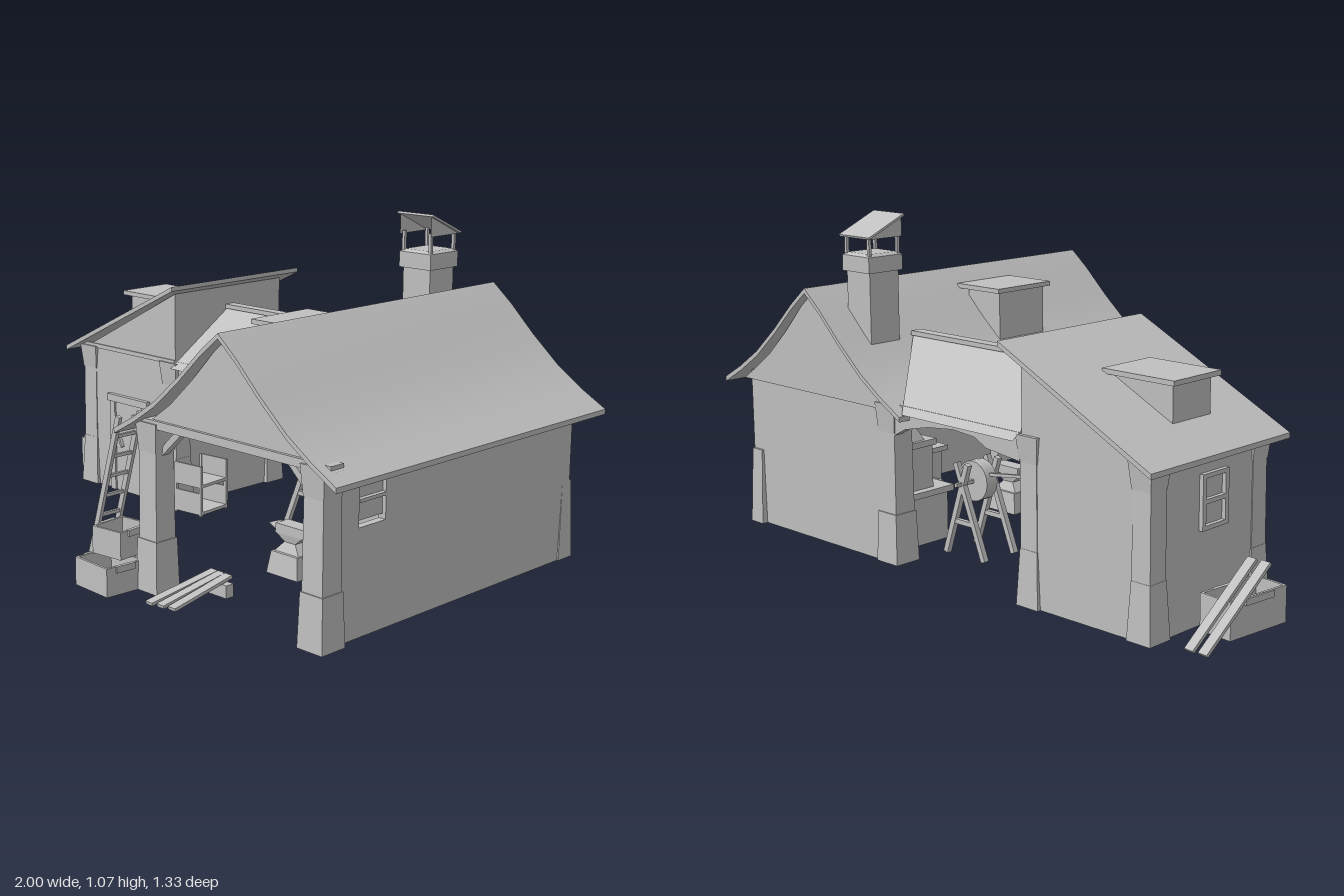
import * as THREE from 'three';
import { toCreasedNormals } from 'three/addons/utils/BufferGeometryUtils.js';

const clay = new THREE.MeshStandardMaterial({ color: 0xc0c0c0, side: THREE.DoubleSide });
clay.name = 'plain grey';

export function createModel() {
  const root = new THREE.Group();
  root.name = 'smithy';
  let target = root;
  const V = (a) => new THREE.Vector3(...a);

  const add = (name, geo, x = 0, y = 0, z = 0) => {
    const m = new THREE.Mesh(geo, clay);
    m.name = name;
    m.position.set(x, y, z);
    target.add(m);
    return m;
  };
  const group = (name, x, y, z, ry, build) => {
    const g = new THREE.Group();
    g.name = name;
    g.position.set(x, y, z);
    g.rotation.y = ry;
    root.add(g);
    target = g;
    build();
    target = root;
  };
  // Box given by its limits
  const box = (name, x0, x1, y0, y1, z0, z1) =>
    add(name, new THREE.BoxGeometry(x1 - x0, y1 - y0, z1 - z0), (x0 + x1) / 2, (y0 + y1) / 2, (z0 + z1) / 2);
  // Box whose top differs in size from its base
  const taper = (name, x, y0, z, w0, d0, w1, d1, h) => {
    const g = new THREE.BoxGeometry(1, h, 1);
    const p = g.attributes.position;
    for (let i = 0; i < p.count; i++) {
      const top = p.getY(i) > 0;
      p.setX(i, p.getX(i) * (top ? w1 : w0));
      p.setZ(i, p.getZ(i) * (top ? d1 : d0));
    }
    g.computeVertexNormals();
    return add(name, g, x, y0 + h / 2, z);
  };
  // Straight bar between two points
  const beam = (name, a, b, w, h) => {
    const m = add(name, new THREE.BoxGeometry(w, h, V(a).distanceTo(V(b))));
    m.position.copy(V(a).add(V(b)).multiplyScalar(0.5));
    m.lookAt(V(b));
    return m;
  };
  // Outline in x and y pushed from z0 to z1
  const slab = (name, pts, z0, z1, holes = []) => {
    const s = new THREE.Shape(pts.map((p) => new THREE.Vector2(...p)));
    holes.forEach((h) => s.holes.push(new THREE.Path(h.map((p) => new THREE.Vector2(...p)))));
    const g = new THREE.ExtrudeGeometry(s, { depth: z1 - z0, bevelEnabled: false });
    return add(name, toCreasedNormals(g, 0.4), 0, 0, z0);
  };
  const rect = (x0, x1, y0, y1) => [[x0, y0], [x1, y0], [x1, y1], [x0, y1]];
  const panel = (name, pts) => {
    const g = new THREE.BufferGeometry().setFromPoints(pts.map(V));
    g.setIndex(pts.length === 4 ? [0, 1, 2, 0, 2, 3] : [0, 1, 2]);
    g.computeVertexNormals();
    return add(name, g);
  };
  const crate = (name, x, y, z, w, h, d, ry = 0) => group(name, x, y, z, ry, () => {
    const t = 0.008;
    box('crateBottom', -w / 2, w / 2, 0, t, -d / 2, d / 2);
    for (const s of [-1, 1]) {
      add('crateSide', new THREE.BoxGeometry(t, h, d), s * (w - t) / 2, h / 2, 0);
      add('crateEnd', new THREE.BoxGeometry(w - 2 * t, h, t), 0, h / 2, s * (d - t) / 2);
      add('crateHandle', new THREE.BoxGeometry(t * 1.5, 0.02, d * 0.5), s * w / 2, h * 0.9, 0);
    }
  });
  // Stone post with flared foot
  const pillar = (x, z, w, top) => {
    taper('pillarFoot', x, 0.015, z, w, w, w * 0.9, w * 0.9, 0.16);
    taper('pillarShaft', x, 0.175, z, w * 0.82, w * 0.82, w * 0.75, w * 0.75, top - 0.175);
    taper('pillarCap', x, top - 0.09, z, w * 0.8, w * 0.8, w * 0.95, w * 0.95, 0.09);
  };

  // Main hall roof: two concave slopes
  const half = [[0.435, 0.5], [0.35, 0.548], [0.26, 0.608], [0.16, 0.695], [0.07, 0.783], [0, 0.842]];
  const R = 0.565;
  const upper = [...half.map(([x, y]) => [R - x, y]), ...half.slice(0, -1).reverse().map(([x, y]) => [R + x, y])];
  slab('mainRoof', [...upper, ...upper.map(([x, y]) => [x, y - 0.016]).reverse()], -0.65, 0.575);
  const gable = upper.map(([x, y]) => [R + (x - R) * 0.92, y - 0.012]).filter((p) => p[1] > 0.5);
  slab('frontGable', [[0.17, 0.525], ...gable, [0.96, 0.525]], 0.5, 0.53);
  slab('backGable', [[0.19, 0.5], ...gable, [0.94, 0.5]], -0.615, -0.59);
  box('frontTieBeam', 0.17, 0.95, 0.515, 0.54, 0.49, 0.54);

  // Main hall walls and posts
  box('backWall', 0.23, 0.91, 0.015, 0.53, -0.61, -0.585);
  const sideWall = slab('sideWall', rect(-0.5, 0.605, 0.015, 0.53), 0, 0.025, [rect(-0.38, -0.27, 0.33, 0.48)]);
  sideWall.rotation.y = Math.PI / 2;
  sideWall.position.x = 0.885;
  box('windowPane', 0.892, 0.898, 0.345, 0.48, 0.27, 0.38);
  box('windowBar', 0.888, 0.912, 0.4, 0.41, 0.27, 0.38);
  pillar(0.888, 0.502, 0.092, 0.53);
  pillar(0.235, 0.502, 0.092, 0.53);
  pillar(0.235, -0.575, 0.092, 0.52);
  taper('cornerFoot', 0.885, 0.015, -0.595, 0.06, 0.07, 0.05, 0.045, 0.25);
  box('eaveBeam', 0.2, 0.26, 0.47, 0.535, -0.6, 0.53);
  beam('leftBrace', [0.265, 0.44, 0.5], [0.36, 0.53, 0.5], 0.025, 0.02);
  beam('rightBrace', [0.855, 0.44, 0.5], [0.76, 0.53, 0.5], 0.025, 0.02);

  // Raised roof hatch and chimney
  box('mainHatchBox', 0.325, 0.47, 0.59, 0.785, -0.035, 0.17);
  box('mainHatchLid', 0.31, 0.505, 0.782, 0.797, -0.055, 0.19);
  const cx = 0.433, cz = -0.482;
  box('chimneyStack', cx - 0.054, cx + 0.054, 0.4, 0.9, cz - 0.058, cz + 0.058);
  box('chimneyCollar', cx - 0.063, cx + 0.063, 0.895, 0.945, cz - 0.068, cz + 0.068);
  taper('chimneyLip', cx, 0.945, cz, 0.126, 0.136, 0.1, 0.11, 0.008);
  for (const sx of [-1, 1]) {
    for (const sz of [-1, 1])
      box('capPost', cx + sx * 0.053 - 0.005, cx + sx * 0.053 + 0.005, 0.945, 1.01, cz + sz * 0.057 - 0.005, cz + sz * 0.057 + 0.005);
    const x = cx + sx * 0.062;
    panel('capSide', [[x, 1.0, -0.55], [x, 1.0, -0.414], [x, 1.064, -0.414]]);
  }
  beam('capRoof', [cx, 1.004, -0.553], [cx, 1.068, -0.41], 0.142, 0.007);

  // Linking roof, mitred into the main slope
  for (const z of [-0.64, -0.075])
    panel('linkRoofSlope', [[-0.335, 0.505, z], [0.13, 0.505, z], [0.39, 0.688, -0.355], [-0.335, 0.688, -0.355]]);
  box('linkRidge', -0.335, 0.38, 0.68, 0.695, -0.375, -0.335);
  const arch = [[-0.335, 0.525], [0.21, 0.525], [0.21, 0.42], [0.15, 0.452], [0.05, 0.475], [-0.06, 0.487], [-0.15, 0.48], [-0.2, 0.455], [-0.335, 0.44]];
  for (const z of [-0.135, -0.61]) slab('linkArch', arch, z, z + 0.03);

  // Side house with a single-pitch roof
  slab('houseBody', [[-0.815, 0.015], [-0.338, 0.015], [-0.338, 0.757], [-0.815, 0.507]], -0.605, -0.1);
  slab('houseRoof', [[-0.865, 0.497], [-0.305, 0.775], [-0.305, 0.79], [-0.865, 0.513]], -0.665, -0.055);
  box('houseBandFront', -0.815, -0.338, 0.515, 0.53, -0.105, -0.095);
  for (const x of [-0.785, -0.366])
    for (const z of [-0.575, -0.13]) {
      taper('housePilaster', x, 0.015, z, 0.085, 0.085, 0.068, 0.068, 0.17);
      taper('housePilasterShaft', x, 0.185, z, 0.066, 0.066, 0.064, 0.064, 0.27);
      taper('housePilasterCap', x, 0.44, z, 0.068, 0.068, 0.084, 0.084, 0.08);
    }
  box('houseHatchBox', -0.73, -0.52, 0.56, 0.695, -0.415, -0.25);
  box('houseHatchLid', -0.75, -0.488, 0.69, 0.705, -0.435, -0.228);

  // Door and window of the side house
  box('door', -0.645, -0.5, 0.015, 0.34, -0.102, -0.094);
  box('doorLintel', -0.678, -0.468, 0.338, 0.363, -0.102, -0.083);
  for (const x of [-0.667, -0.502]) box('doorJamb', x, x + 0.025, 0.015, 0.338, -0.102, -0.087);
  beam('doorHandle', [-0.622, 0.22, -0.088], [-0.6, 0.18, -0.085], 0.01, 0.01);
  for (const z of [-0.4, -0.3]) box('houseWindowPost', -0.828, -0.812, 0.29, 0.45, z, z + 0.015);
  for (const y of [0.29, 0.365, 0.438]) box('houseWindowRail', -0.828, -0.812, y, y + 0.013, -0.4, -0.285);

  // Forge
  box('forgeBase', 0.315, 0.56, 0.005, 0.17, -0.58, -0.29);
  box('forgeSlab', 0.3, 0.57, 0.165, 0.185, -0.585, -0.275);
  slab('forgeMouth', rect(0.328, 0.545, 0.185, 0.33), -0.55, -0.34, [[[0.365, 0.195], [0.505, 0.195], [0.505, 0.28], [0.47, 0.3], [0.4, 0.3], [0.365, 0.28]]]);
  box('forgeShelf', 0.32, 0.553, 0.325, 0.345, -0.57, -0.33);
  taper('forgeHood', 0.433, 0.345, -0.47, 0.2, 0.2, 0.13, 0.14, 0.07);

  // Anvil on a block
  group('anvil', 0.4, 0, 0.09, 0, () => {
    taper('anvilBlock', 0, 0.005, 0, 0.13, 0.11, 0.11, 0.09, 0.07);
    taper('anvilFoot', 0, 0.075, 0, 0.1, 0.07, 0.045, 0.04, 0.03);
    taper('anvilWaist', 0, 0.105, 0, 0.045, 0.04, 0.11, 0.05, 0.025);
    box('anvilTop', -0.055, 0.065, 0.13, 0.16, -0.027, 0.027);
    const horn = add('anvilHorn', new THREE.ConeGeometry(0.022, 0.06, 8), -0.08, 0.143, 0);
    horn.rotation.z = Math.PI / 2;
  });

  // Workbench, chest and wall shelf
  box('benchTop', 0.7, 0.85, 0.165, 0.182, -0.3, 0.07);
  box('benchBody', 0.715, 0.845, 0.005, 0.165, -0.28, 0.05);
  crate('smallChest', 0.665, 0.005, -0.1, 0.09, 0.085, 0.14);
  for (const y of [0.255, 0.31]) box('wallShelf', 0.805, 0.886, y, y + 0.01, -0.25, 0.05);
  for (const z of [-0.2, 0]) beam('shelfBracket', [0.88, 0.2, z], [0.82, 0.255, z], 0.01, 0.01);
  box('shelfJar', 0.83, 0.86, 0.32, 0.37, -0.1, -0.07);

  // Grinding wheel on a trestle
  for (const z of [-0.4, -0.27]) {
    beam('trestleLeg', [0.03, 0.01, z], [0.15, 0.31, z], 0.018, 0.018);
    beam('trestleLeg', [0.2, 0.01, z], [0.1, 0.31, z], 0.018, 0.018);
    beam('trestleRail', [0.07, 0.12, z], [0.165, 0.12, z], 0.015, 0.015);
  }
  add('grindWheel', new THREE.CylinderGeometry(0.065, 0.065, 0.045, 20), 0.125, 0.245, -0.335).rotation.x = Math.PI / 2;
  beam('wheelAxle', [0.125, 0.245, -0.43], [0.125, 0.245, -0.24], 0.012, 0.012);
  beam('longPole', [-0.12, 0.298, -0.335], [0.17, 0.258, -0.335], 0.01, 0.01);

  // Ladder
  for (const z of [0.47, 0.553]) beam('ladderRail', [-0.025, 0.015, z], [0.128, 0.53, z], 0.012, 0.018);
  for (let i = 1; i < 8; i++) {
    const t = i / 8;
    beam('ladderRung', [-0.025 + 0.153 * t, 0.015 + 0.515 * t, 0.465], [-0.025 + 0.153 * t, 0.015 + 0.515 * t, 0.558], 0.01, 0.01);
  }

  // Crates and loose planks
  crate('frontCrate', 0.118, 0.015, 0.59, 0.155, 0.088, 0.135, -0.06);
  crate('backCrate', 0.11, 0.015, 0.47, 0.12, 0.088, 0.09);
  crate('stackedCrate', 0.1, 0.104, 0.525, 0.115, 0.085, 0.13, 0.1);
  for (let i = 0; i < 3; i++)
    beam('floorPlank', [0.31 + i * 0.04, 0.015, 0.605 - i * 0.008], [0.33 + i * 0.03, 0.06, 0.36], 0.03, 0.01);
  box('plankRest', 0.31, 0.42, 0.005, 0.045, 0.37, 0.4);

  // Open rack beside the house
  group('rack', -0.255, 0, -0.14, 0.1, () => {
    for (const y of [0.02, 0.115]) {
      box('rackShelf', -0.06, 0.06, y, y + 0.01, -0.07, 0.07);
      for (const z of [-0.07, 0.062]) box('rackBoard', -0.06, 0.06, y, y + 0.075, z, z + 0.008);
    }
    for (const x of [-0.06, 0.05]) for (const z of [-0.07, 0.06]) box('rackPost', x, x + 0.01, 0.015, 0.19, z, z + 0.01);
  });

  // Trough and leaning planks on the far side
  crate('sideTrough', -0.908, 0.015, -0.315, 0.115, 0.11, 0.225, -0.1);
  for (const x of [-0.982, -0.935]) beam('leaningPlank', [x + 0.02, 0.015, -0.56], [x - 0.005, 0.22, -0.32], 0.032, 0.01);

  return root;
}
